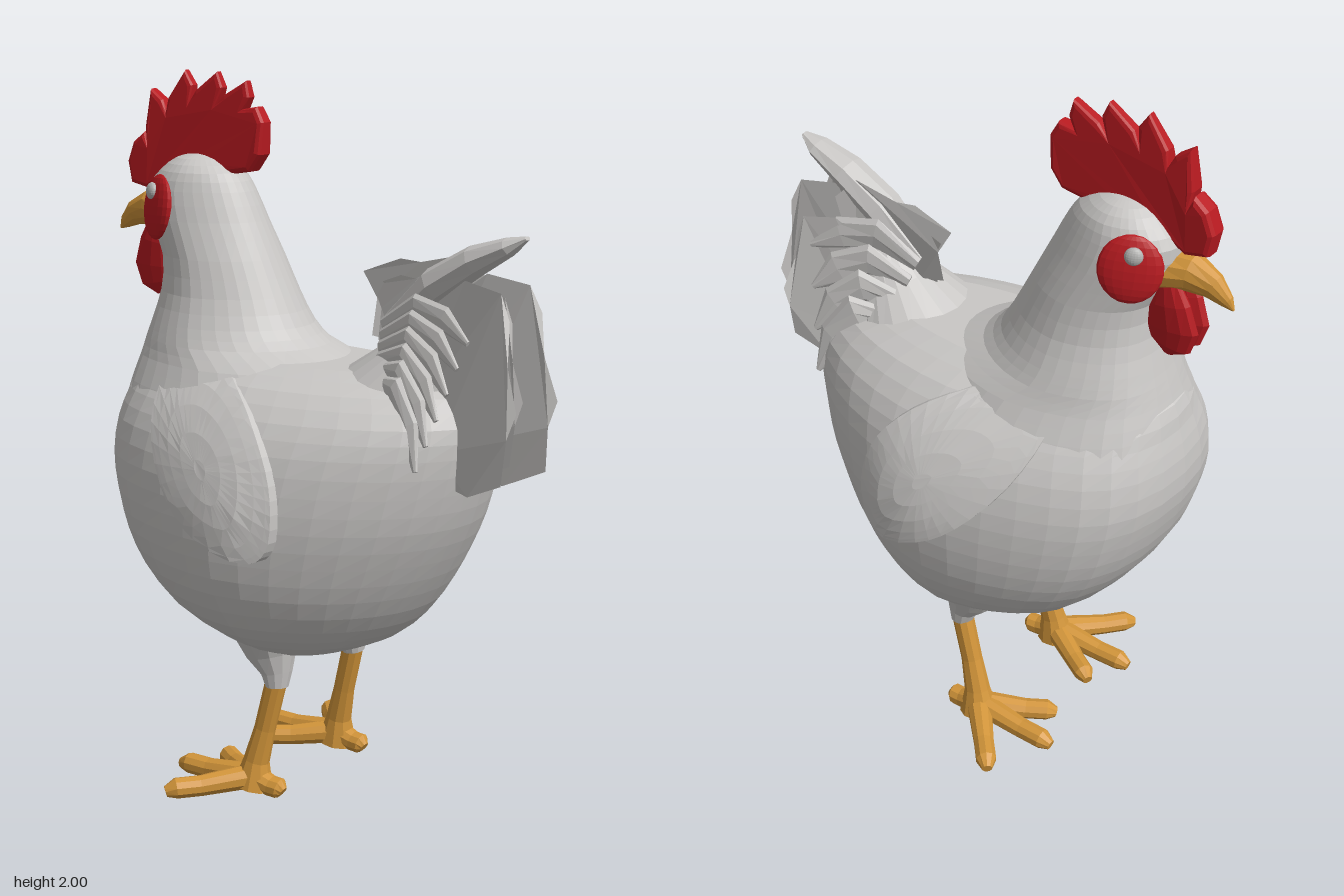
import * as THREE from 'three';

const mat = (name, color, side = THREE.FrontSide) => {
  const m = new THREE.MeshStandardMaterial({ color, side, flatShading: true });
  m.name = name;
  return m;
};
const V = (x, y, z = 0) => new THREE.Vector3(x, y, z);
const clamp01 = t => THREE.MathUtils.clamp(t, 0, 1);

// Closed skin over a list of rings with equal point counts
function skin(rings) {
  const n = rings[0].length, pos = [], idx = [];
  rings.forEach(r => r.forEach(p => pos.push(p.x, p.y, p.z)));
  for (let i = 0; i < rings.length - 1; i++) {
    for (let j = 0; j < n; j++) {
      const a = i * n + j, b = i * n + (j + 1) % n;
      idx.push(a, a + n, b, b, a + n, b + n);
    }
  }
  const last = (rings.length - 1) * n;
  for (let j = 1; j < n - 1; j++) idx.push(0, j, j + 1, last, last + j + 1, last + j);
  const g = new THREE.BufferGeometry();
  g.setAttribute('position', new THREE.Float32BufferAttribute(pos, 3));
  g.setIndex(idx);
  g.computeVertexNormals();
  return g;
}

// Plumpness of a section: full at the breast, narrower at the rear (c runs -1 front to 1 back)
const plump = (c, y) => c > 0 ? 1 - 0.1 * c : 1 + (0.35 - 0.25 * clamp01((y - 1.2) / 0.25)) * c ** 4;

// Horizontal oval sections: [y, front x, back x, half width]
const oval = (rows, n = 36) => skin(rows.map(([y, f, b, w]) =>
  Array.from({ length: n }, (_, j) => {
    const t = j / n * Math.PI * 2, c = Math.cos(t);
    return V((f + b) / 2 + (b - f) / 2 * c, y, w * Math.sin(t) * plump(c, y));
  })));

// Adds smooth in-between sections to a table of ovals
function refine(rows, steps = 2) {
  const fronts = new THREE.CatmullRomCurve3(rows.map(([y, f]) => V(f, y)));
  const backs = new THREE.CatmullRomCurve3(rows.map(([y, , b, w]) => V(b, y, w)));
  const total = (rows.length - 1) * steps;
  return Array.from({ length: total + 1 }, (_, i) => {
    const f = fronts.getPoint(i / total), b = backs.getPoint(i / total);
    return [(f.y + b.y) / 2, f.x, b.x, b.z];
  });
}

// Tapered limb along a path; radii are [in the profile plane, sideways]
function limb(points, radii, n = 8, hint = V(0, 0, 1)) {
  return skin(points.map((p, i) => {
    const T = points[Math.min(i + 1, points.length - 1)].clone().sub(points[Math.max(i - 1, 0)]).normalize();
    const v = hint.clone().addScaledVector(T, -hint.dot(T)).normalize();
    const u = T.clone().cross(v);
    return Array.from({ length: n }, (_, j) => {
      const t = j / n * Math.PI * 2;
      return p.clone().addScaledVector(u, radii[i][0] * Math.cos(t)).addScaledVector(v, radii[i][1] * Math.sin(t));
    });
  }));
}

const bodyRows = refine([
  [0.405, -0.08, 0.08, 0.1], [0.43, -0.18, 0.14, 0.2], [0.48, -0.29, 0.25, 0.29], [0.55, -0.41, 0.33, 0.36],
  [0.65, -0.5, 0.4, 0.41], [0.75, -0.56, 0.455, 0.43], [0.85, -0.595, 0.5, 0.435], [0.95, -0.615, 0.53, 0.425],
  [1.05, -0.61, 0.55, 0.397], [1.13, -0.59, 0.55, 0.35], [1.2, -0.57, 0.5, 0.275], [1.245, -0.5, 0.38, 0.16]]);
const neckRows = refine([
  [1.08, -0.595, 0.25, 0.34], [1.15, -0.58, 0.2, 0.305], [1.22, -0.56, 0.13, 0.265], [1.27, -0.545, 0.0, 0.237],
  [1.32, -0.53, -0.055, 0.215], [1.4, -0.51, -0.1, 0.185], [1.5, -0.51, -0.15, 0.165], [1.6, -0.56, -0.2, 0.147],
  [1.68, -0.57, -0.24, 0.13], [1.73, -0.53, -0.275, 0.11], [1.765, -0.48, -0.33, 0.072], [1.78, -0.43, -0.38, 0.02]]);

// Half width of the body at a point of its side profile
function bodyHalf(x, y) {
  let i = 0;
  while (i < bodyRows.length - 2 && bodyRows[i + 1][0] < y) i++;
  const a = bodyRows[i], b = bodyRows[i + 1];
  const k = clamp01((y - a[0]) / (b[0] - a[0]));
  const [, f, r, w] = a.map((q, m) => q + (b[m] - q) * k);
  const c = THREE.MathUtils.clamp((x - (f + r) / 2) / ((r - f) / 2), -1, 1);
  return w * Math.sqrt(1 - c * c) * plump(c, y);
}

// Folded wing: a padded patch on the flank, thickest low at the rear
function wing(s) {
  const outline = new THREE.CatmullRomCurve3([[-0.35, 1.2], [-0.32, 1.07], [-0.2, 0.91], [-0.08, 0.82], [0.1, 0.77],
    [0.14, 0.81], [0.15, 0.93], [0.11, 1.05], [0.02, 1.15], [-0.12, 1.22], [-0.26, 1.24]].map(p => V(...p)), true)
    .getPoints(36).slice(0, 36);
  const rings = [1, 0.985, 0.93, 0.8, 0.6, 0.35, 0.1].map((k, i) => outline.map(p => {
    const x = -0.07 + (p.x + 0.07) * k, y = 1.0 + (p.y - 1.0) * k;
    const along = 0.013 + 0.034 * clamp01((x + 0.3) / 0.32) - 0.016 * clamp01((x - 0.06) / 0.09);
    const lift = along * (1 - 0.8 * clamp01((y - 0.9) / 0.3));
    return V(x, y, s * (bodyHalf(x, y) + (i === 0 ? -0.03 : lift)));
  }));
  if (s > 0) rings.forEach(r => r.reverse());
  return skin(rings);
}

export function createModel() {
  const root = new THREE.Group();
  root.name = 'rooster';
  const white = mat('feather white', 0xc9c7c5);
  const sheetWhite = mat('tail feather white', 0xc9c7c5, THREE.DoubleSide);
  const red = mat('comb red', 0xb81a20), horn = mat('leg and beak yellow', 0xd2953a);
  const eyeGrey = mat('eye grey', 0xb4b4b2);
  const add = (name, geo, m) => {
    const mesh = new THREE.Mesh(geo, m);
    mesh.name = name;
    root.add(mesh);
  };
  // Flattened disc lying on the slanting cheek of side s
  const cheekDisc = (name, m, s, [x, y, z], r) => {
    const g = new THREE.SphereGeometry(1, 18, 12).scale(...r).rotateY(-s * 0.45).rotateX(-s * 0.16);
    add(name, g.translate(x, y, s * z), m);
  };

  add('body', oval(bodyRows), white);
  add('neckAndHead', oval(neckRows), white);
  add('rump', limb([V(0.13, 0.96), V(0.2, 1.04), V(0.27, 1.13), V(0.35, 1.27), V(0.39, 1.4)],
    [[0.22, 0.26], [0.22, 0.26], [0.19, 0.22], [0.12, 0.12], [0.05, 0.06]], 24), white);

  // Comb, thinning towards its points
  const combShape = new THREE.Shape([[-0.64, 1.69], [-0.65, 1.74], [-0.63, 1.79], [-0.605, 1.81], [-0.585, 1.78], [-0.585, 1.84],
    [-0.575, 1.93], [-0.55, 1.91], [-0.52, 1.87], [-0.505, 1.92], [-0.46, 1.985], [-0.445, 1.96], [-0.445, 1.9], [-0.41, 1.94],
    [-0.35, 1.985], [-0.34, 1.96], [-0.355, 1.9], [-0.31, 1.93], [-0.25, 1.965], [-0.245, 1.94], [-0.265, 1.895], [-0.21, 1.9],
    [-0.193, 1.87], [-0.2, 1.79], [-0.23, 1.75], [-0.29, 1.74], [-0.4, 1.75], [-0.5, 1.73], [-0.59, 1.68]]
    .map(p => new THREE.Vector2(...p)));
  const comb = new THREE.ExtrudeGeometry(combShape,
    { depth: 0.03, bevelEnabled: true, bevelThickness: 0.015, bevelSize: 0.014, bevelSegments: 2 }).translate(0, 0, -0.015);
  const cp = comb.attributes.position;
  for (let i = 0; i < cp.count; i++) cp.setZ(i, cp.getZ(i) * (1.1 - 0.6 * clamp01((cp.getY(i) - 1.8) / 0.2)));
  comb.computeVertexNormals();
  add('comb', comb, red);

  // Beak
  add('beak', limb([V(-0.53, 1.605), V(-0.6, 1.61), V(-0.66, 1.59), V(-0.7, 1.56), V(-0.72, 1.54)],
    [[0.06, 0.07], [0.053, 0.048], [0.037, 0.03], [0.02, 0.016], [0.003, 0.003]], 12), horn);

  for (const s of [1, -1]) {
    const side = s > 0 ? 'left' : 'right';
    add(side + 'Wing', wing(s), white);
    cheekDisc(side + 'FacePatch', red, s, [-0.483, 1.63, 0.108], [0.084, 0.092, 0.023]);
    cheekDisc(side + 'Eye', eyeGrey, s, [-0.497, 1.675, 0.118], [0.024, 0.024, 0.014]);
    add(side + 'Wattle', limb([V(-0.545, 1.59, s * 0.03), V(-0.555, 1.52, s * 0.03), V(-0.565, 1.45, s * 0.027),
      V(-0.56, 1.4, s * 0.024), V(-0.55, 1.368, s * 0.02)],
    [[0.03, 0.02], [0.06, 0.026], [0.076, 0.026], [0.06, 0.022], [0.015, 0.008]], 12), red);

    // Leg and foot
    add(side + 'Thigh', limb([V(-0.05, 0.5, s * 0.18), V(-0.035, 0.42, s * 0.18), V(-0.015, 0.37, s * 0.182), V(-0.012, 0.33, s * 0.186)],
      [[0.11, 0.1], [0.075, 0.065], [0.045, 0.045], [0.032, 0.034]], 12), white);
    add(side + 'Shank', limb([V(-0.01, 0.36, s * 0.186), V(-0.05, 0.2, s * 0.192), V(-0.075, 0.1, s * 0.2), V(-0.085, 0.02, s * 0.205)],
      [[0.031, 0.031], [0.031, 0.03], [0.038, 0.036], [0.06, 0.052]], 10), horn);
    [[-0.345, 0.21], [-0.25, 0.395], [-0.28, 0.085], [0.018, 0.2]].forEach(([x, z], i) => {
      const tip = V(x, 0.024, s * z), heel = V(-0.085, 0.05, s * 0.205);
      const across = V(x + 0.085, 0, s * (z - 0.205)).cross(V(0, 1, 0)).normalize();
      add(side + 'Toe' + (i + 1), limb([heel, heel.clone().lerp(tip, 0.6).setY(0.033), heel.clone().lerp(tip, 0.88).setY(0.032), tip],
        [[0.036, 0.038], [0.03, 0.03], [0.03, 0.03], [0.016, 0.015]], 10, across), horn);
    });

    // Drooping sickle feathers, fewer and broader on the right
    const count = s > 0 ? 6 : 4, broad = s > 0 ? 0.034 : 0.05;
    for (let i = 0; i < count; i++) {
      const k = i / (count - 1), z = 0.04 + 0.1 * k;
      add(side + 'SickleFeather' + (i + 1), limb([
        V(0.24 + 0.03 * k, 1.36 - 0.14 * k, s * z * 0.8), V(0.36, 1.43 - 0.2 * k, s * (z + 0.02)),
        V(0.46 - 0.04 * k, 1.41 - 0.27 * k, s * (z + 0.045)), V(0.55 - 0.09 * k, 1.36 - 0.33 * k, s * (z + 0.075))],
      [[0.024, 0.014], [broad, 0.016], [broad, 0.014], [0.008, 0.005]], 8), white);
    }
  }

  // Long trailing feather over the top of the tail
  add('topFeather', limb([V(0.25, 1.36), V(0.38, 1.48), V(0.5, 1.555), V(0.6, 1.6), V(0.65, 1.625)],
    [[0.04, 0.04], [0.05, 0.06], [0.042, 0.055], [0.025, 0.04], [0.006, 0.012]], 8), white);

  // Broad tail sheets, fanned and slightly curled
  const rear = [[0.33, 1.12], [0.45, 1.05], [0.49, 0.96], [0.56, 0.95], [0.69, 1.01], [0.695, 1.13], [0.715, 1.2],
    [0.69, 1.32], [0.67, 1.43], [0.64, 1.5], [0.52, 1.52], [0.38, 1.42]];
  const crest = [[0.3, 1.22], [0.24, 1.31], [0.17, 1.32], [0.17, 1.42], [0.13, 1.49], [0.25, 1.535], [0.31, 1.53],
    [0.44, 1.56], [0.5, 1.5], [0.45, 1.3]];
  const sheet = (name, pts, slope, offset, size = 1) => {
    const g = new THREE.ShapeGeometry(new THREE.Shape(pts.map(([x, y]) =>
      new THREE.Vector2(0.3 + (x - 0.3) * size, 1.25 + (y - 1.25) * size))));
    const p = g.attributes.position;
    for (let i = 0; i < p.count; i++) {
      const x = p.getX(i), y = p.getY(i);
      p.setZ(i, offset + slope * (x - 0.25) * (1 + 1.2 * (1.4 - y)) + 0.012 * Math.sin(y * 25));
    }
    g.computeVertexNormals();
    add(name, g, sheetWhite);
  };
  [[-0.24, 0.78], [-0.07, 1], [0.06, 0.88], [0.2, 0.98]].forEach(([k, size], i) =>
    sheet('rearTailSheet' + (i + 1), rear, k, k * 0.15, size));
  sheet('crestTailSheet1', crest, -0.12, -0.03);
  sheet('crestTailSheet2', crest, 0.15, -0.01, 0.85);
  return root;
}
